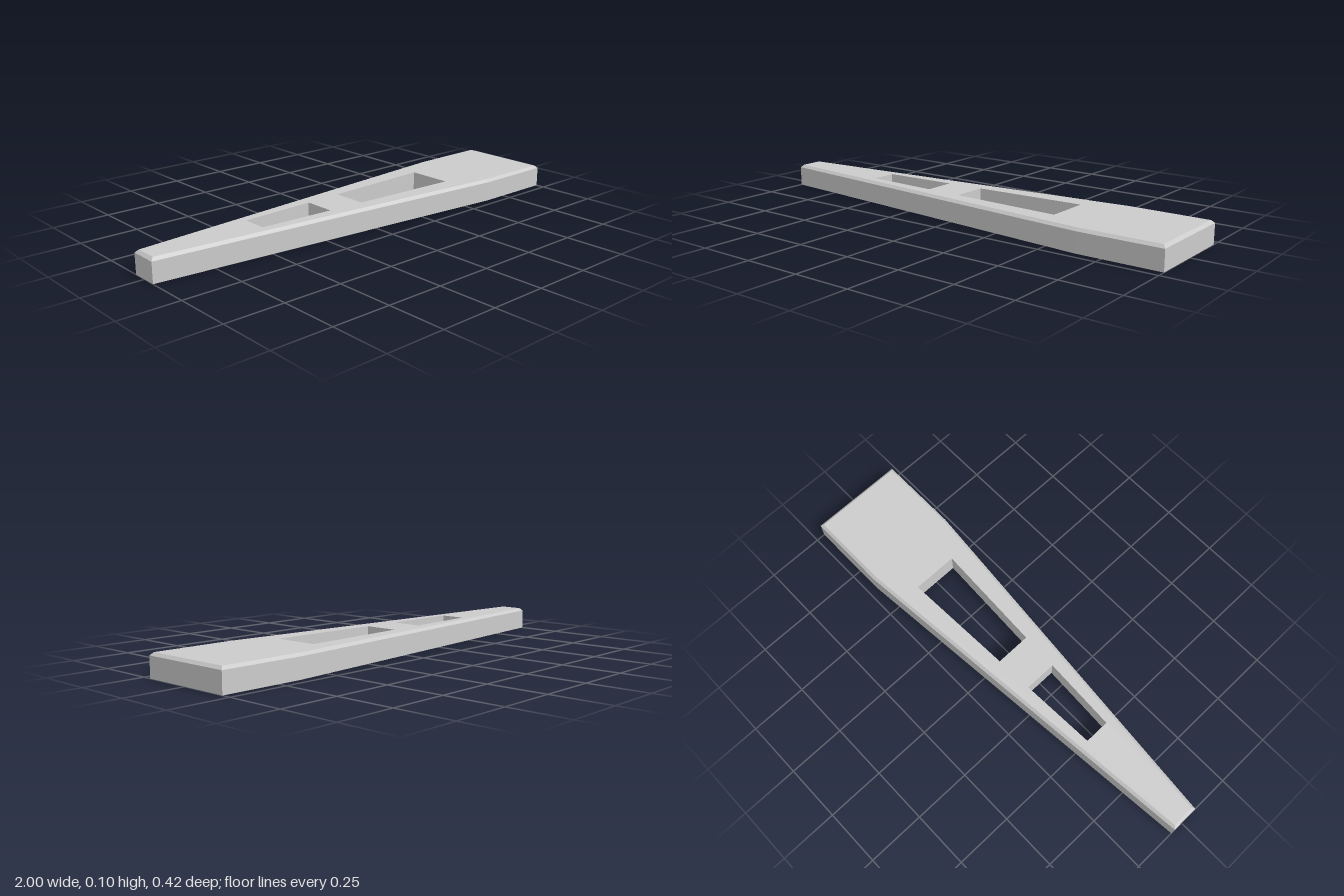
import * as THREE from 'three';

const HEIGHT = 0.098, CHAMFER = 0.012;
const SHOULDER = HEIGHT - CHAMFER;

// Symmetric loop in [x, z], counter-clockwise from above, from [x, halfWidth] stations
const loop = (stations) => [
  ...stations,
  ...[...stations].reverse().map(([x, w]) => [x, -w]),
];

// Flat band of quads joining two loops at heights y0 and y1
function band(lower, y0, upper, y1) {
  const pos = [];
  lower.forEach((p, i) => {
    const j = (i + 1) % lower.length;
    const a = [p[0], y0, p[1]], b = [lower[j][0], y0, lower[j][1]];
    const c = [upper[j][0], y1, upper[j][1]], d = [upper[i][0], y1, upper[i][1]];
    pos.push(...a, ...b, ...c, ...a, ...c, ...d);
  });
  const g = new THREE.BufferGeometry();
  g.setAttribute('position', new THREE.Float32BufferAttribute(pos, 3));
  g.computeVertexNormals();
  return g;
}

// Horizontal face with window openings, facing up (+1) or down (-1)
function face(outline, holes, y, dir) {
  const points = (l) => l.map(([x, z]) => new THREE.Vector2(x, z));
  const shape = new THREE.Shape(points(outline));
  shape.holes = holes.map((h) => new THREE.Path(points(h)));
  return new THREE.ShapeGeometry(shape).rotateX(-dir * Math.PI / 2).translate(0, y, 0);
}

export function createModel() {
  const group = new THREE.Group();
  group.name = 'taperedPlate';
  const material = new THREE.MeshStandardMaterial({ color: 0xcccccc, flatShading: true });
  const add = (name, geometry) => {
    const mesh = new THREE.Mesh(geometry, material);
    mesh.name = name;
    group.add(mesh);
  };

  // Tapered outline and its inset top edge
  const outer = loop([[-1, 0.06], [0.64, 0.21], [1, 0.21]]);
  const inner = loop([[-1 + CHAMFER, 0.049], [0.64, 0.198], [1 - CHAMFER, 0.198]]);

  // Two trapezoid windows following the taper
  const windows = [
    loop([[-0.51, 0.055], [-0.18, 0.07]]),
    loop([[-0.015, 0.077], [0.475, 0.099]]),
  ];

  add('sideWalls', band(outer, 0, outer, SHOULDER));
  add('topChamfer', band(outer, SHOULDER, inner, HEIGHT));
  add('topFace', face(inner, windows, HEIGHT, 1));
  add('bottomFace', face(outer, windows, 0, -1));
  windows.forEach((w, i) => {
    const inward = [...w].reverse();
    add(`windowWalls${i + 1}`, band(inward, 0, inward, HEIGHT));
  });
  return group;
}
